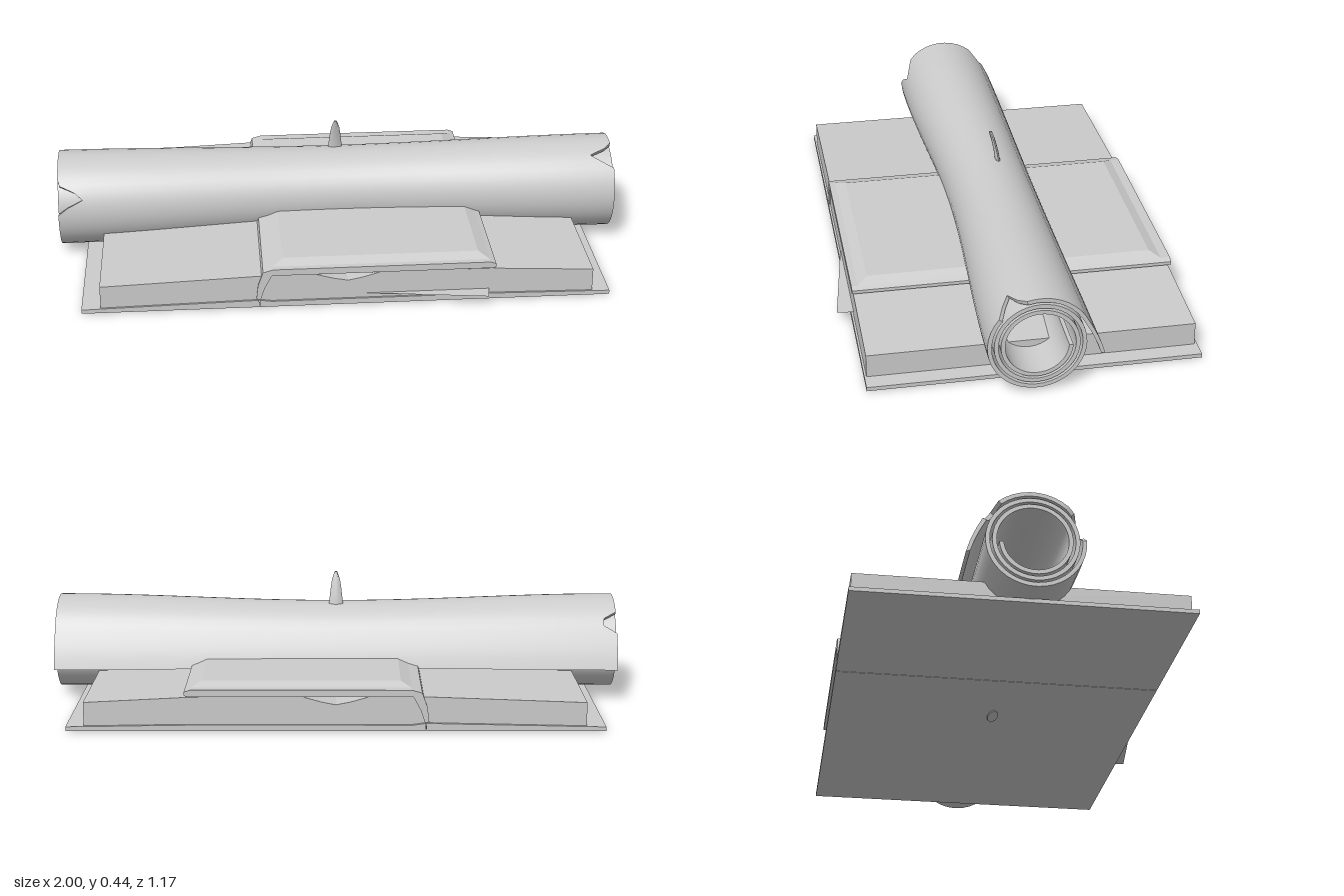
import * as THREE from 'three';
import { toCreasedNormals } from 'three/addons/utils/BufferGeometryUtils.js';

const material = new THREE.MeshStandardMaterial({ color: 0xcccccc });
const doubleSided = new THREE.MeshStandardMaterial({ color: 0xcccccc, side: THREE.DoubleSide });

function addPart(group, name, geometry, mat = material) {
  const mesh = new THREE.Mesh(geometry, mat);
  mesh.name = name;
  group.add(mesh);
  return mesh;
}

// Front-facing (x, y) profile drawn out between two z positions
function slab(points, zBack, zFront) {
  const shape = new THREE.Shape(points.map(([x, y]) => new THREE.Vector2(x, y)));
  return new THREE.ExtrudeGeometry(shape, { depth: zFront - zBack, bevelEnabled: false }).translate(0, 0, zBack);
}

// Long sheet rolled into a spiral, waisted in the middle and torn at the ends
function scrollGeometry() {
  const N = 120, C = 28, start = -0.25, end = Math.PI * 6 - 0.1, half = 0.007;
  const tears = [ // end of the roll, angle, half width, depth
    [-1, 2.72, 0.3, 0.1], [-1, 0.62, 0.22, 0.07], [1, 2.15, 0.26, 0.09],
  ];
  const section = [];
  for (let k = 0; k < 2 * (N + 1); k++) {
    const outer = k <= N;
    const a = start + (end - start) * (outer ? k : 2 * N + 1 - k) / N;
    const flare = 0.045 * (Math.max(0, 0.5 - a) / 0.75) ** 2;
    section.push({ a, r: 0.172 - 0.022 * a / (2 * Math.PI) + flare + (outer ? half : -half) });
  }
  const M = section.length, pos = [], index = [];
  for (let j = 0; j <= C; j++) {
    // columns crowd towards the ends so that the tears stay sharp
    const t = Math.sin((j / C - 0.5) * Math.PI), side = Math.sign(t);
    for (const { a, r } of section) {
      let limit = 1;
      for (const [s, angle, width, depth] of tears) {
        if (s === side) limit = Math.min(limit, 1 - depth * Math.max(0, 1 - Math.abs(a - angle) / width));
      }
      const x = side * Math.min(Math.abs(t), limit);
      const waist = Math.cos(x * Math.PI / 2) ** 2;
      const R = r * (1 - 0.12 * waist);
      pos.push(x, 0.178 + Math.sin(a) * R, -0.012 - 0.018 * waist - Math.cos(a) * R);
    }
  }
  for (let j = 0; j < C; j++) {
    for (let k = 0; k < M; k++) {
      const a = j * M + k, b = j * M + (k + 1) % M;
      index.push(a, b, a + M, b, b + M, a + M);
    }
  }
  for (let k = 0; k < N; k++) {
    const inner = M - 1 - k, o = C * M;
    index.push(o + k, o + k + 1, o + inner, o + k + 1, o + inner - 1, o + inner);
    index.push(k, inner, k + 1, k + 1, inner, inner - 1);
  }
  const g = new THREE.BufferGeometry();
  g.setAttribute('position', new THREE.Float32BufferAttribute(pos, 3));
  g.setIndex(index);
  return toCreasedNormals(g, 0.7);
}

// Flat curved blade that passes through book and scroll
function bladeGeometry() {
  const g = new THREE.CylinderGeometry(1, 1, 1, 8, 16);
  const p = g.attributes.position;
  for (let i = 0; i < p.count; i++) {
    const t = p.getY(i) + 0.5, y = t * 0.44;
    const width = 0.005 + 0.047 * (1 - t) ** 0.5 * (1 - 0.2 * t);
    const thick = 0.006 + 0.012 * (1 - t);
    p.setXYZ(i, p.getX(i) * width, y, p.getZ(i) * thick + 0.95 * y * y - 0.4975 * y);
  }
  return toCreasedNormals(g, 0.8);
}

// Box whose upper face is drawn in on all sides
function raisedPanel(x0, x1, z0, z1, y0, y1, inset) {
  const g = new THREE.BoxGeometry(x1 - x0, y1 - y0, z1 - z0);
  const p = g.attributes.position;
  for (let i = 0; i < p.count; i++) {
    if (p.getY(i) > 0) {
      p.setX(i, p.getX(i) - Math.sign(p.getX(i)) * inset);
      p.setZ(i, p.getZ(i) - Math.sign(p.getZ(i)) * inset);
    }
  }
  g.translate((x0 + x1) / 2, (y0 + y1) / 2, (z0 + z1) / 2);
  g.computeVertexNormals();
  return g;
}

export function createModel() {
  const model = new THREE.Group();
  model.name = 'bookWithScroll';

  const book = new THREE.Group();
  book.name = 'openBook';
  model.add(book);

  // Two cover boards meeting at the crease
  addPart(book, 'rightCover', slab([[-0.91, 0.004], [-0.305, 0.004], [-0.305, 0.03], [-0.91, 0.018]], -0.585, 0.535));
  addPart(book, 'leftCover', slab([[-0.302, 0.004], [0.91, 0.004], [0.91, 0.018], [0.5, 0.024],
    [-0.26, 0.024], [-0.302, 0.03]], -0.585, 0.535));

  // Page block, rising towards the gutter
  addPart(book, 'pages', slab([[-0.845, 0.016], [0.85, 0.016], [0.85, 0.1], [0.5, 0.118], [0.12, 0.122],
    [0.05, 0.102], [0, 0.092], [-0.05, 0.102], [-0.12, 0.122], [-0.3, 0.12], [-0.845, 0.1]], -0.575, 0.528));

  // Leaf folded round the right side of the pages
  addPart(book, 'foldedLeaf', slab([[-0.3, 0.03], [-0.285, 0.075], [-0.26, 0.122], [0.5, 0.122], [0.51, 0.126],
    [0.51, 0.138], [0.49, 0.145], [-0.255, 0.145], [-0.29, 0.135], [-0.308, 0.085], [-0.314, 0.035]], -0.583, 0.533));
  addPart(book, 'raisedPanel', raisedPanel(-0.26, 0.495, -0.555, 0.515, 0.143, 0.16, 0.04));

  // Loose page corner peeping out at the front
  const corner = new THREE.Shape([[0, 0.52], [0.48, 0.585], [0.49, 0.52]].map(([x, z]) => new THREE.Vector2(x, -z)));
  addPart(book, 'loosePage', new THREE.ShapeGeometry(corner).rotateX(-Math.PI / 2).translate(0, 0.04, 0), doubleSided);

  addPart(model, 'scroll', scrollGeometry());
  addPart(model, 'curvedBlade', bladeGeometry());
  return model;
}
